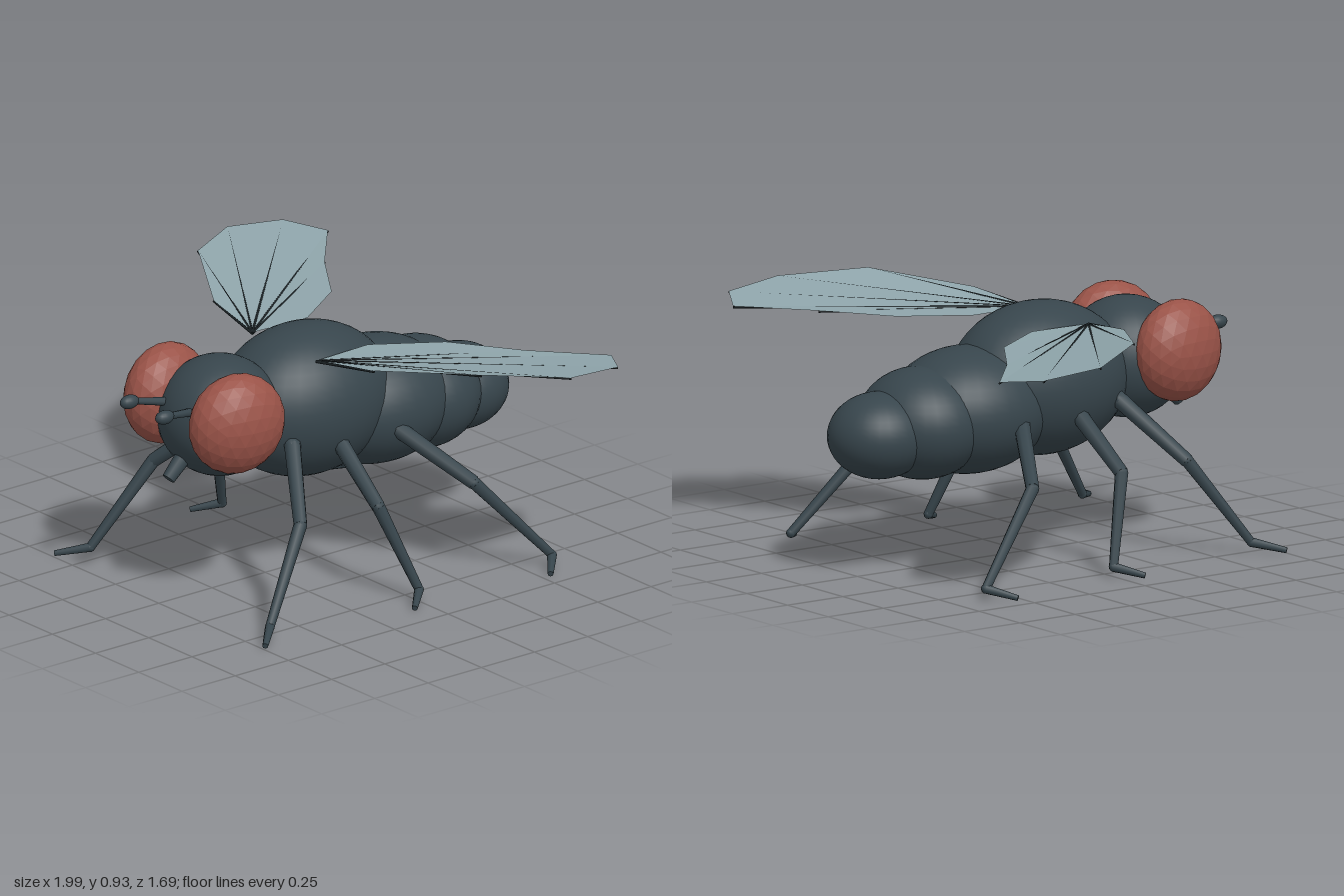
import * as THREE from 'three';

const material = (name, color, extra = {}) => {
  const m = new THREE.MeshStandardMaterial({ color, ...extra });
  m.name = name;
  return m;
};

export function createModel() {
  const body = material('slate body', 0x37454c);
  const eyeRed = material('dull red', 0x9a5348);
  const wingGrey = material('pale wing', 0x8fa5ab, { side: THREE.DoubleSide });
  const veinDark = material('dark vein', 0x1b2225);

  const fly = new THREE.Group();
  fly.name = 'fly';

  const add = (name, geometry, mat, parent = fly) => {
    const mesh = new THREE.Mesh(geometry, mat);
    mesh.name = name;
    parent.add(mesh);
    return mesh;
  };

  const ellipsoid = (name, centre, radii, parent = fly, segments = 32) => {
    const mesh = add(name, new THREE.SphereGeometry(1, segments, segments * 0.75), body, parent);
    mesh.position.set(...centre);
    mesh.scale.set(...radii);
    return mesh;
  };

  // Tapered rod from point a to point b
  const rod = (name, a, b, ra, rb, mat, parent = fly, sides = 8) => {
    const from = new THREE.Vector3(...a), to = new THREE.Vector3(...b);
    const dir = to.clone().sub(from);
    const mesh = add(name, new THREE.CylinderGeometry(rb, ra, dir.length(), sides), mat, parent);
    mesh.position.copy(from).add(to).multiplyScalar(0.5);
    mesh.quaternion.setFromUnitVectors(new THREE.Vector3(0, 1, 0), dir.normalize());
    return mesh;
  };

  // Body segments
  ellipsoid('head', [0, 0.675, 0.465], [0.23, 0.225, 0.23]);
  ellipsoid('thorax', [0, 0.645, 0.07], [0.27, 0.285, 0.36]);
  ellipsoid('abdomenFront', [0, 0.567, -0.25], [0.27, 0.235, 0.32]);
  ellipsoid('abdomenMiddle', [0, 0.543, -0.46], [0.245, 0.207, 0.235]);
  ellipsoid('abdomenTip', [0, 0.52, -0.65], [0.183, 0.16, 0.197]);

  // Mouthpart
  rod('proboscis', [0, 0.58, 0.605], [0, 0.48, 0.705], 0.034, 0.025, body, fly, 10);

  // Leg joints for the +x side: hip, knee, ankle, toe
  const legs = {
    frontLeg: [[0.2, 0.57, 0.285], [0.425, 0.36, 0.43], [0.52, 0.045, 0.65], [0.61, 0.018, 0.745]],
    middleLeg: [[0.23, 0.54, 0.085], [0.47, 0.365, 0.1], [0.57, 0.045, -0.01], [0.65, 0.016, 0.075]],
    rearLeg: [[0.22, 0.545, -0.17], [0.5, 0.365, -0.325], [0.6, 0.045, -0.61], [0.69, 0.016, -0.53]],
  };
  const legRadii = [[0.032, 0.026], [0.025, 0.017], [0.018, 0.011]];
  const legParts = ['thigh', 'shin', 'foot'];

  // Wing outline for the +x side, from the leading edge round to the trailing edge
  const wingRoot = [0.185, 0.865, 0.16];
  const wingRim = [
    [0.465, 0.897, 0.115], [0.82, 0.934, -0.1], [0.995, 0.908, -0.38], [0.97, 0.885, -0.62],
    [0.82, 0.866, -0.71], [0.58, 0.864, -0.5], [0.33, 0.864, -0.33], [0.175, 0.865, -0.09],
  ];

  for (const s of [1, -1]) {
    const side = s > 0 ? 'left' : 'right';
    const flip = ([x, y, z]) => [s * x, y, z];

    // Faceted compound eye
    const eyeGeometry = new THREE.IcosahedronGeometry(1, 3);
    eyeGeometry.scale(0.125, 0.19, 0.19);
    eyeGeometry.computeVertexNormals();
    const eye = add(side + 'Eye', eyeGeometry, eyeRed);
    eye.position.set(s * 0.205, 0.72, 0.55);
    eye.rotation.y = -s * 0.17;

    // Antenna with a knob
    const antenna = new THREE.Group();
    antenna.name = side + 'Antenna';
    fly.add(antenna);
    rod('stalk', flip([0.065, 0.745, 0.63]), flip([0.1, 0.775, 0.79]), 0.017, 0.012, body, antenna);
    ellipsoid('knob', flip([0.102, 0.775, 0.805]), [0.026, 0.026, 0.04], antenna, 16);

    // Legs
    for (const [name, joints] of Object.entries(legs)) {
      const leg = new THREE.Group();
      leg.name = side + name[0].toUpperCase() + name.slice(1);
      fly.add(leg);
      const p = joints.map(flip);
      legRadii.forEach(([ra, rb], i) => {
        rod(legParts[i], p[i], p[i + 1], ra, rb, body, leg);
        ellipsoid('joint', p[i], [ra, ra, ra], leg, 8);
      });
    }

    // Wing membrane as a fan of flat facets, with veins just beneath
    const wing = new THREE.Group();
    wing.name = side + 'Wing';
    fly.add(wing);
    const corners = [];
    for (let i = 0; i < wingRim.length - 1; i++) {
      const pair = s > 0 ? [wingRim[i], wingRim[i + 1]] : [wingRim[i + 1], wingRim[i]];
      corners.push(...[wingRoot, ...pair].flatMap(flip));
    }
    const membrane = new THREE.BufferGeometry();
    membrane.setAttribute('position', new THREE.Float32BufferAttribute(corners, 3));
    membrane.computeVertexNormals();
    add('membrane', membrane, wingGrey, wing);
    for (const [x, y, z] of wingRim.slice(0, 6)) {
      const [rx, ry, rz] = wingRoot;
      rod('vein', flip([rx, ry - 0.003, rz]), flip([x, y - 0.004, z]), 0.006, 0.004, veinDark, wing, 5);
    }
  }
  return fly;
}
